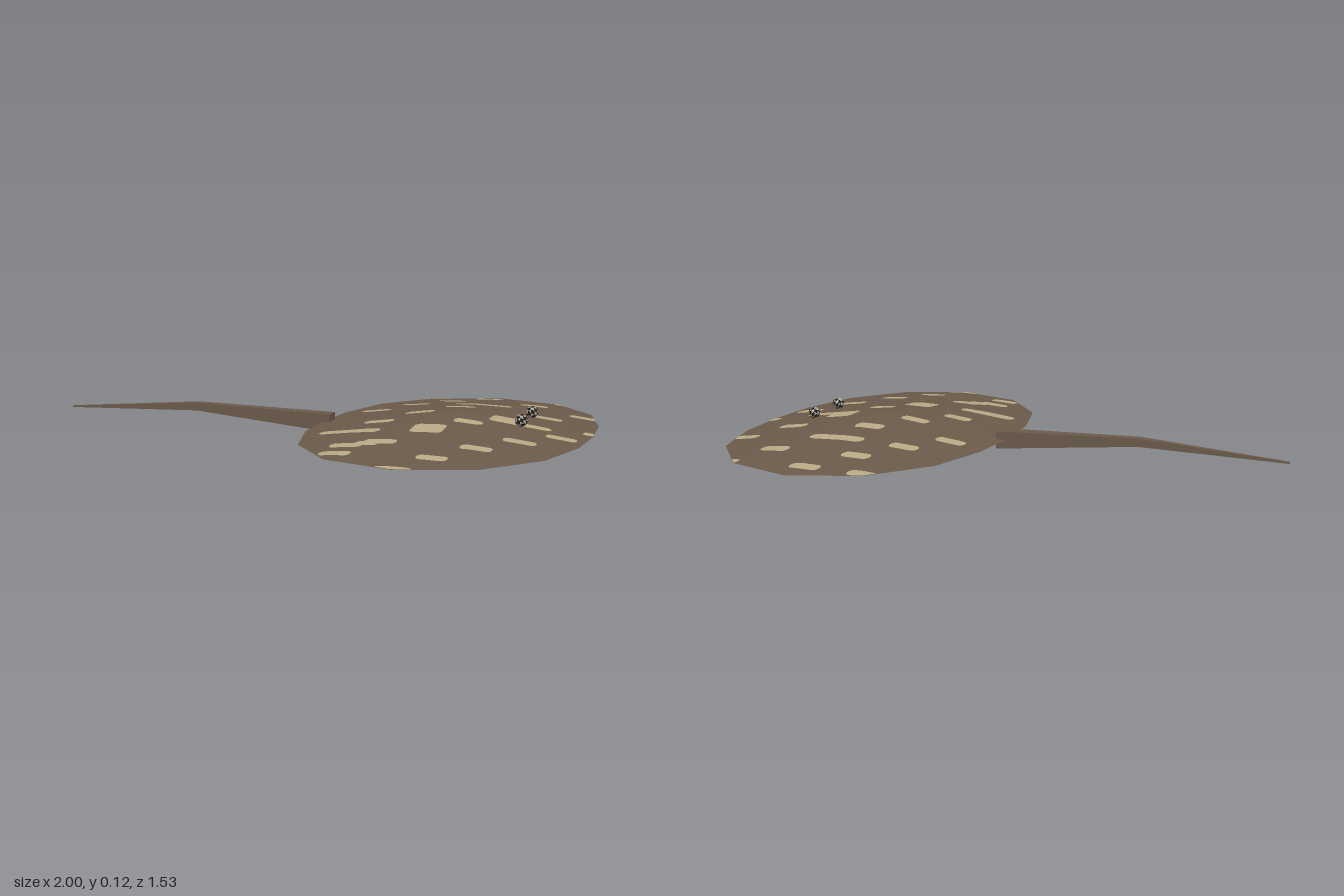
import * as THREE from 'three';

const mat = (name, color, extra = {}) => Object.assign(new THREE.MeshStandardMaterial({ color, ...extra }), { name });

// Disc outline, one quarter, mirrored to a closed 16-sided ring
const CX = 0.512, RIM = 0.035, TOP = 0.101, BOTTOM = 0.003;
const quarter = [[0.486, 0], [0.472, 0.225], [0.408, 0.47], [0.246, 0.678], [0, 0.763]];
const half = [...quarter, ...quarter.slice(0, 4).reverse().map(([x, z]) => [-x, z])];
const ring = [...half, ...half.slice(1, -1).reverse().map(([x, z]) => [x, -z])];

// How far out a point lies: 0 at the centre, 1 on the outline
function reach(x, z) {
  let r = 0;
  ring.forEach(([ax, az], i) => {
    const [bx, bz] = ring[(i + 1) % ring.length];
    r = Math.max(r, (x * (bz - az) - z * (bx - ax)) / (ax * bz - az * bx));
  });
  return r;
}

// Faceted shallow cone from the outline to a centre point
function cone(apex, up) {
  const pos = [];
  ring.forEach(([ax, az], i) => {
    const [bx, bz] = ring[(i + 1) % ring.length];
    const a = [CX + ax, RIM, az], b = [CX + bx, RIM, bz];
    pos.push(CX, apex, 0, ...(up ? [...b, ...a] : [...a, ...b]));
  });
  const g = new THREE.BufferGeometry();
  g.setAttribute('position', new THREE.Float32BufferAttribute(pos, 3));
  g.computeVertexNormals();
  return g;
}

// Rounded patch draped over the back, trimmed at the outline
function patch(x0, x1, z0, z1) {
  const w = x1 - x0, d = z1 - z0, c = 0.018;
  const g = new THREE.PlaneGeometry(w, d, 16, 6).rotateX(-Math.PI / 2);
  const p = g.attributes.position;
  for (let i = 0; i < p.count; i++) {
    const e = Math.min(c, w / 2 - Math.abs(p.getX(i)));
    const limit = d / 2 - c + Math.sqrt(Math.max(0, c * c - (c - e) ** 2));
    let x = (x0 + x1) / 2 + p.getX(i) - CX;
    let z = (z0 + z1) / 2 + p.getZ(i) * limit / (d / 2);
    let r = reach(x, z);
    if (r > 0.998) { x *= 0.998 / r; z *= 0.998 / r; r = 0.998; }
    p.setXYZ(i, CX + x, TOP + (RIM - TOP) * r + 0.0015, z);
  }
  g.computeVertexNormals();
  return g;
}

// Square-section tail lofted through [x, centre y, half height, half width]
function tail() {
  const stations = [[0.06, 0.034, 0.032, 0.03], [-0.47, 0.065, 0.015, 0.016], [-1, 0.036, 0.003, 0.004]];
  const pos = [], idx = [];
  for (const [x, y, h, w] of stations)
    for (const [sy, sz] of [[1, 1], [1, -1], [-1, -1], [-1, 1]]) pos.push(x, y + sy * h, sz * w);
  for (let s = 0; s < 2; s++)
    for (let k = 0; k < 4; k++) {
      const a = s * 4 + k, b = s * 4 + (k + 1) % 4;
      idx.push(a, b, a + 4, b, b + 4, a + 4);
    }
  idx.push(0, 2, 1, 0, 3, 2, 8, 9, 10, 8, 10, 11);
  const g = new THREE.BufferGeometry();
  g.setAttribute('position', new THREE.Float32BufferAttribute(pos, 3));
  g.setIndex(idx);
  g.computeVertexNormals();
  return g;
}

// Spots as rows: [near z, far z, [x from, x to], ...]
const spotRows = [
  [-0.69, -0.637, [0.23, 0.33], [0.435, 0.545], [0.75, 0.82]],
  [-0.53, -0.475, [0.33, 0.435], [0.645, 0.75]],
  [-0.372, -0.318, [0.225, 0.33], [0.435, 0.645], [0.86, 0.965]],
  [-0.215, -0.16, [0.115, 0.225], [0.435, 0.545], [0.75, 0.86]],
  [-0.055, 0, [0.33, 0.435], [0.96, 0.998]],
  [-0.055, 0.05, [0.645, 0.75]],
  [0, 0.053, [0.645, 0.86]],
  [0.1, 0.155, [0.225, 0.33], [0.545, 0.645], [0.86, 0.965]],
  [0.205, 0.315, [0.435, 0.545]],
  [0.26, 0.315, [0.115, 0.33], [0.75, 0.86]],
  [0.418, 0.473, [0.325, 0.435], [0.645, 0.75]],
  [0.445, 0.5, [0.3, 0.38]],
  [0.47, 0.525, [0.225, 0.335]],
  [0.577, 0.63, [0.225, 0.33], [0.545, 0.645]],
  [0.73, 0.77, [0.45, 0.57]],
];

export function createModel() {
  const skin = mat('brown skin', 0x6b5a4a, { flatShading: true });
  const sand = mat('sand spots', 0xb8a985);
  const belly = mat('pale belly', 0xc6c0b3, { flatShading: true });
  const eyeLight = mat('eye light', 0xaca79c, { flatShading: true });
  const eyeDark = mat('eye dark', 0x1c1a18, { flatShading: true });

  const group = new THREE.Group();
  group.name = 'ray';
  const add = (name, geometry, material, parent = group) => {
    const m = new THREE.Mesh(geometry, material);
    m.name = name;
    parent.add(m);
    return m;
  };

  add('back', cone(TOP, true), skin);
  add('belly', cone(BOTTOM, false), belly);
  add('tail', tail(), skin);

  const spots = new THREE.Group();
  spots.name = 'spots';
  group.add(spots);
  for (const [z0, z1, ...spans] of spotRows)
    for (const [x0, x1] of spans) add('spot', patch(x0, x1, z0, z1), sand, spots);

  // Small speckled eyes
  for (const side of [1, -1]) {
    const g = new THREE.IcosahedronGeometry(0.022, 1);
    for (let f = 0; f < 80; f++) g.addGroup(f * 3, 3, f % 2);
    add(side > 0 ? 'frontEye' : 'backEye', g, [eyeLight, eyeDark]).position.set(0.77, 0.095, side * 0.094);
  }
  return group;
}
